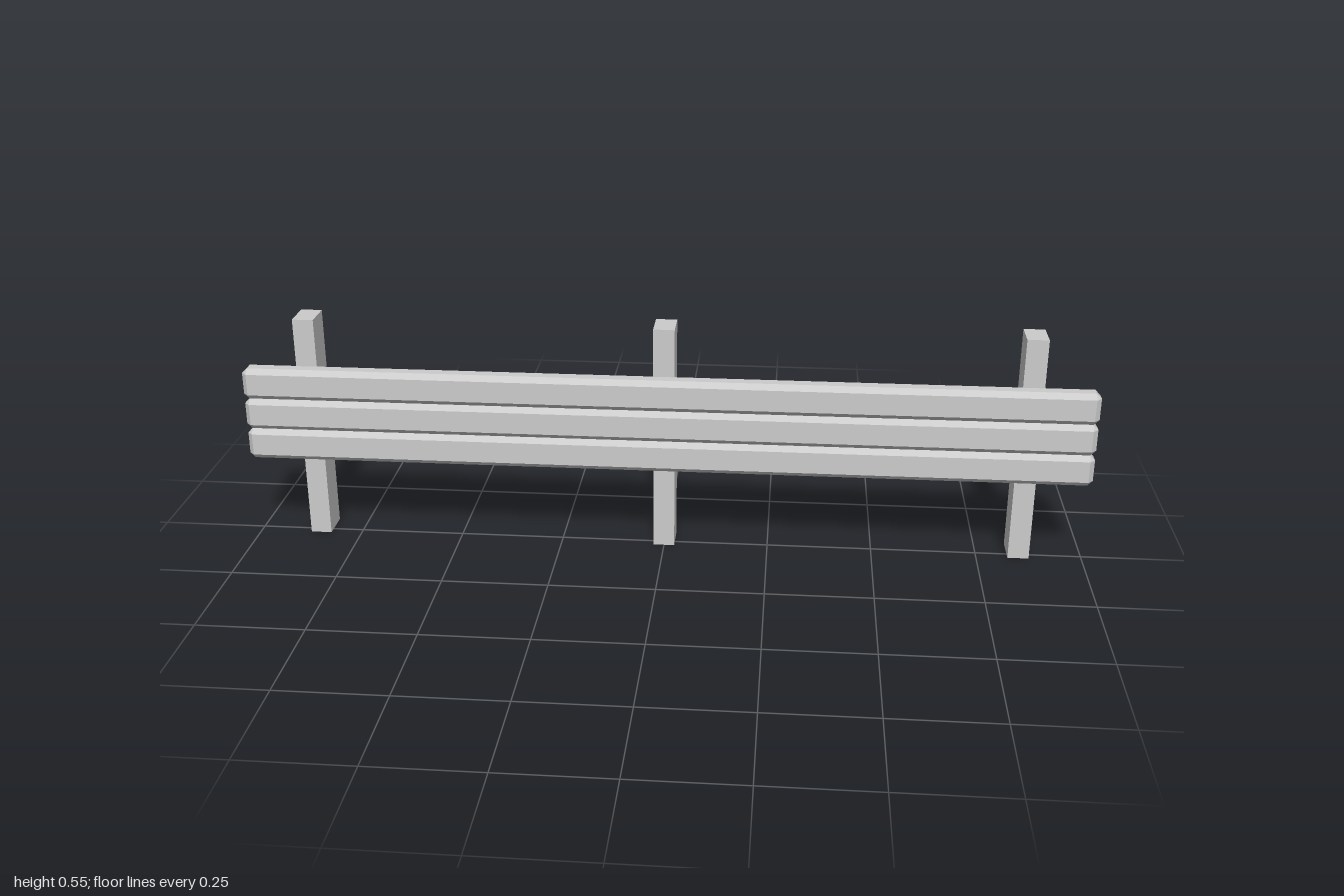
import * as THREE from 'three';
import { ConvexGeometry } from 'three/addons/geometries/ConvexGeometry.js';

// Box with every edge cut by a flat chamfer c
function chamferedBox(w, h, d, c) {
  const points = [];
  for (const sx of [-1, 1]) for (const sy of [-1, 1]) for (const sz of [-1, 1]) {
    const x = w / 2, y = h / 2, z = d / 2;
    for (const [px, py, pz] of [[x, y - c, z - c], [x - c, y, z - c], [x - c, y - c, z]]) {
      points.push(new THREE.Vector3(sx * px, sy * py, sz * pz));
    }
  }
  return new ConvexGeometry(points);
}

export function createModel() {
  const model = new THREE.Group();
  model.name = 'fence';
  const material = new THREE.MeshStandardMaterial({ color: 0xcccccc, flatShading: true });

  // Three upright posts
  const postHeight = 0.552;
  const postGeometry = new THREE.BoxGeometry(0.05, postHeight, 0.076);
  ['rightPost', 'middlePost', 'leftPost'].forEach((name, i) => {
    const post = new THREE.Mesh(postGeometry, material);
    post.name = name;
    post.position.set((i - 1) * 0.85, postHeight / 2, -0.018);
    model.add(post);
  });

  // Three stacked boards on the front of the posts
  const pitch = 0.0763;
  const boardGeometry = chamferedBox(2, pitch, 0.05, 0.0122);
  ['lowerBoard', 'middleBoard', 'upperBoard'].forEach((name, i) => {
    const board = new THREE.Mesh(boardGeometry, material);
    board.name = name;
    board.position.set(0, 0.3215 + (i - 1) * pitch, 0.0315);
    model.add(board);
  });

  return model;
}
